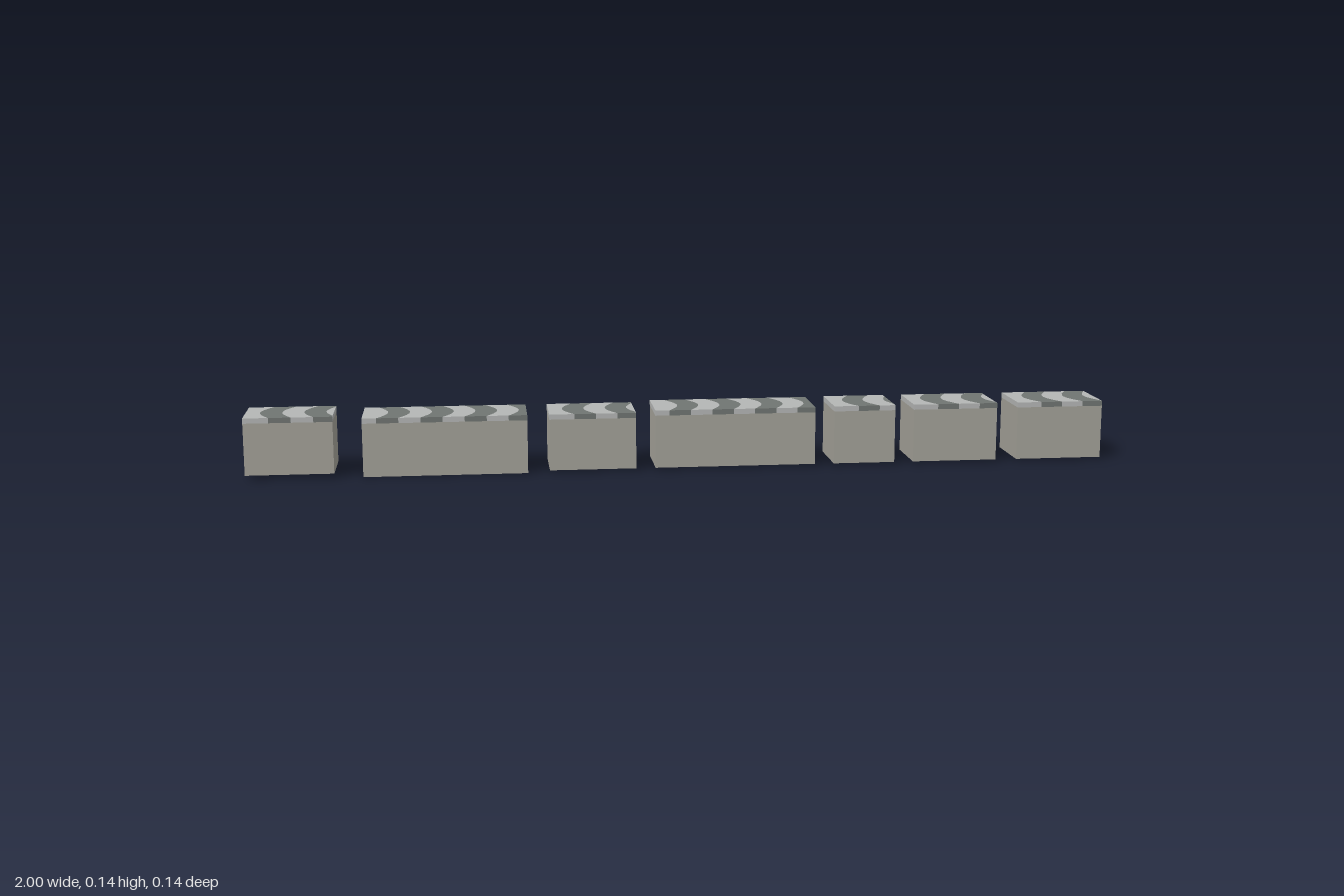
import * as THREE from 'three';

const DEPTH = 0.136, CAP = 0.012, PITCH = 0.1, ROWS = 8;
const material = (color) => new THREE.MeshStandardMaterial({ color, flatShading: true });

// Bars: left end, right end, bottom, top, direction the stripes bend
const BARS = [
  [-1.0, -0.8, 0.01, 0.142, -1],
  [-0.735, -0.36, 0.0, 0.136, 1],
  [-0.31, -0.11, 0.005, 0.136, -1],
  [-0.065, 0.31, 0.005, 0.14, 1],
  [0.355, 0.5, 0.005, 0.141, -1],
  [0.545, 0.745, 0.005, 0.141, -1],
  [0.795, 1.0, 0.005, 0.141, -1],
];

// One curved stripe, cut off at the ends of its bar
function stripeGeometry(from, to, x0, x1, bend) {
  const edge = (x) => Array.from({ length: ROWS + 1 }, (_, i) => {
    const t = i / ROWS;
    const curve = bend * 0.025 * (Math.sin(Math.PI * t) - 0.5);
    return new THREE.Vector2(THREE.MathUtils.clamp(x + curve, x0, x1), (t - 0.5) * DEPTH);
  });
  const a = edge(from), b = edge(to);
  if (b.every((p, i) => p.x - a[i].x < 1e-5)) return null;
  const shape = new THREE.Shape([...b, ...a.reverse()]);
  return new THREE.ExtrudeGeometry(shape, { depth: CAP, bevelEnabled: false }).rotateX(-Math.PI / 2);
}

export function createModel() {
  const model = new THREE.Group();
  model.name = 'stripedBars';
  const side = material(0xa3a198), light = material(0xb4b6b5), dark = material(0x707572);

  for (const [x0, x1, y0, y1, bend] of BARS) {
    const bar = new THREE.Group();
    bar.name = 'bar';

    // Solid body
    const height = y1 - CAP - y0;
    const body = new THREE.Mesh(new THREE.BoxGeometry(x1 - x0, height, DEPTH), side);
    body.name = 'body';
    body.position.set((x0 + x1) / 2, y0 + height / 2, 0);
    bar.add(body);

    // Thin cap of alternating light and dark stripes
    const count = Math.ceil((x1 - x0) / (PITCH / 2)) + 2;
    for (let i = 0; i < count; i++) {
      const start = x0 + 0.045 + (i - 1) * PITCH / 2;
      const geometry = stripeGeometry(i === 0 ? x0 - 1 : start, start + PITCH / 2, x0, x1, bend);
      if (!geometry) continue;
      const stripe = new THREE.Mesh(geometry, i % 2 ? dark : light);
      stripe.name = i % 2 ? 'darkStripe' : 'lightStripe';
      stripe.position.y = y1 - CAP;
      bar.add(stripe);
    }
    model.add(bar);
  }
  return model;
}
